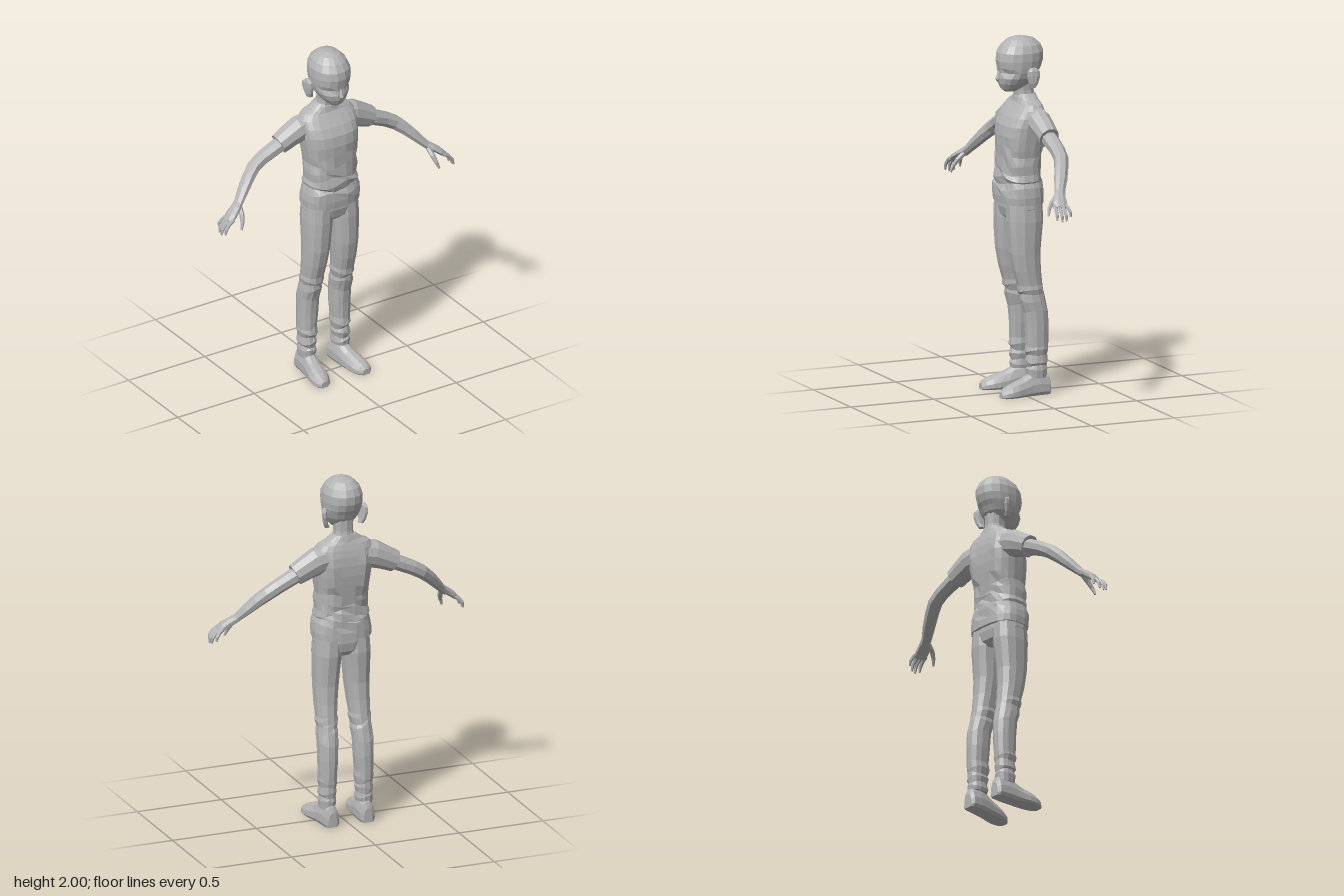
import * as THREE from 'three';

const grey = new THREE.MeshStandardMaterial({ color: 0xb4b4b4 });
grey.name = 'clay grey';

// Skin a list of equal-sized point rings, cap both ends, face outward, facet it
function loft(name, rings) {
  const n = rings[0].length, pos = [], idx = [];
  rings.forEach(r => r.forEach(p => pos.push(p.x, p.y, p.z)));
  for (let i = 0; i < rings.length - 1; i++) {
    for (let j = 0; j < n; j++) {
      const a = i * n + j, b = i * n + (j + 1) % n;
      idx.push(a, b, b + n, a, b + n, a + n);
    }
  }
  [0, rings.length - 1].forEach((r, end) => {
    const c = new THREE.Vector3();
    rings[r].forEach(p => c.addScaledVector(p, 1 / n));
    const k = pos.length / 3;
    pos.push(c.x, c.y, c.z);
    for (let j = 0; j < n; j++) {
      const a = r * n + j, b = r * n + (j + 1) % n;
      if (end) idx.push(a, b, k); else idx.push(b, a, k);
    }
  });
  // A negative enclosed volume means the faces point inward
  const at = i => new THREE.Vector3().fromArray(pos, i * 3);
  let vol = 0;
  for (let i = 0; i < idx.length; i += 3) {
    vol += at(idx[i]).dot(at(idx[i + 1]).cross(at(idx[i + 2])));
  }
  if (vol < 0) idx.reverse();
  const g = new THREE.BufferGeometry();
  g.setAttribute('position', new THREE.Float32BufferAttribute(pos, 3));
  g.setIndex(idx);
  const flat = g.toNonIndexed();
  flat.computeVertexNormals();
  const mesh = new THREE.Mesh(flat, grey);
  mesh.name = name;
  return mesh;
}

// Horizontal squarish oval: height, x centre, half width, front z, back z
function slice(y, xc, w, zf, zb, n = 16, pow = 0.8) {
  const bend = v => Math.sign(v) * Math.abs(v) ** pow;
  return Array.from({ length: n }, (_, i) => {
    const t = (i + 0.5) / n * Math.PI * 2;
    return new THREE.Vector3(xc + w * bend(Math.cos(t)), y, (zf + zb) / 2 + (zf - zb) / 2 * bend(Math.sin(t)));
  });
}

// Limb along a path of [x, y, z, thickness radius, depth radius]
function limb(name, path, s, n = 8) {
  const pts = path.map(p => new THREE.Vector3(p[0] * s, p[1], p[2]));
  const rings = path.map((p, i) => {
    const d = pts[Math.min(i + 1, pts.length - 1)].clone().sub(pts[Math.max(i - 1, 0)]).normalize();
    const v = new THREE.Vector3(0, 0, 1).addScaledVector(d, -d.z).normalize();
    const u = v.clone().cross(d);
    return Array.from({ length: n }, (_, j) => {
      const t = (j + 0.5) / n * Math.PI * 2;
      return pts[i].clone().addScaledVector(u, p[3] * Math.cos(t)).addScaledVector(v, p[4] * Math.sin(t));
    });
  });
  return loft(name, rings);
}

function makeHead() {
  const head = new THREE.Group();
  head.name = 'head';
  const rings = [
    [1.695, 0.025, 0.07, 0.0], [1.712, 0.048, 0.092, -0.04], [1.742, 0.075, 0.106, -0.082],
    [1.775, 0.095, 0.111, -0.108], [1.805, 0.104, 0.106, -0.122], [1.83, 0.108, 0.11, -0.138],
    [1.87, 0.111, 0.117, -0.152], [1.915, 0.109, 0.111, -0.153], [1.955, 0.092, 0.085, -0.135],
    [1.985, 0.062, 0.048, -0.1], [2.0, 0.02, 0.01, -0.04],
  ].map(([y, w, zf, zb]) => slice(y, 0, w, zf, zb, 16, 0.92));
  // Sunken eye sockets
  rings[4].forEach(p => { if (p.z > 0.04 && Math.abs(p.x) > 0.03) p.z -= 0.012; });
  head.add(loft('skull', rings));
  head.add(loft('nose', [
    slice(1.752, 0, 0.011, 0.114, 0.09, 6), slice(1.768, 0, 0.014, 0.128, 0.09, 6), slice(1.81, 0, 0.007, 0.112, 0.09, 6),
  ]));
  for (const s of [1, -1]) {
    const ear = new THREE.Group();
    ear.name = s > 0 ? 'leftEar' : 'rightEar';
    const rim = [[1.725, 0.1, 0.012], [1.75, 0.109, 0.022], [1.79, 0.114, 0.032], [1.818, 0.115, 0.03], [1.835, 0.112, 0.014]];
    ear.add(loft('earShell', rim.map(([y, x, d]) =>
      slice(y, x * s, 0.015, -0.05 + d, -0.055 - d, 8).map(p => {
        p.x += s * (-0.05 - p.z) * 0.3;
        return p;
      }))));
    head.add(ear);
  }
  head.add(loft('neck', [
    slice(1.6, 0, 0.07, 0.0, -0.115, 10), slice(1.655, 0, 0.057, 0.008, -0.105, 10),
    slice(1.7, 0, 0.052, 0.012, -0.098, 10), slice(1.77, 0, 0.055, 0.02, -0.1, 10),
  ]));
  return head;
}

function makeShirt() {
  const shirt = new THREE.Group();
  shirt.name = 'shirt';
  const rings = [
    [1.075, 0.166, 0.108, -0.13], [1.115, 0.168, 0.112, -0.13], [1.16, 0.163, 0.112, -0.126],
    [1.185, 0.152, 0.1, -0.122], [1.215, 0.157, 0.108, -0.118], [1.25, 0.149, 0.099, -0.114],
    [1.28, 0.152, 0.102, -0.115], [1.33, 0.147, 0.098, -0.122], [1.39, 0.153, 0.1, -0.132],
    [1.45, 0.162, 0.1, -0.137], [1.51, 0.168, 0.091, -0.137], [1.56, 0.171, 0.066, -0.134],
    [1.6, 0.168, 0.035, -0.127], [1.63, 0.145, 0.012, -0.118], [1.65, 0.1, 0.006, -0.11], [1.678, 0.062, 0.0, -0.104],
  ].map(([y, w, zf, zb]) => slice(y, 0, w, zf, zb, 20, 0.72));
  rings.forEach((ring, i) => ring.forEach(p => {
    // Cloth folds around the waist, and shoulder blades on the back
    if (i > 1 && i < 9) {
      const y = p.y;
      p.y += 0.014 * Math.sin(p.x * 23 + i * 1.7);
      p.z += 0.005 * Math.sin(p.x * 40 + y * 60);
    }
    if (p.z < -0.1) p.z -= 0.014 * Math.exp(-(((Math.abs(p.x) - 0.1) / 0.04) ** 2) - ((p.y - 1.5) / 0.08) ** 2);
  }));
  shirt.add(loft('shirtBody', rings));
  shirt.add(loft('collar', [
    slice(1.64, 0, 0.082, 0.014, -0.115, 14), slice(1.665, 0, 0.07, 0.01, -0.11, 14), slice(1.68, 0, 0.062, 0.004, -0.106, 14),
  ]));
  for (const s of [1, -1]) {
    shirt.add(limb(s > 0 ? 'leftSleeve' : 'rightSleeve', [
      [0.1, 1.55, -0.06, 0.075, 0.066], [0.17, 1.537, -0.061, 0.08, 0.068],
      [0.23, 1.51, -0.063, 0.07, 0.063], [0.297, 1.477, -0.064, 0.062, 0.058],
    ], s, 10));
  }
  return shirt;
}

function makeArm(s) {
  const arm = new THREE.Group();
  arm.name = s > 0 ? 'leftArm' : 'rightArm';
  arm.add(limb('armSkin', [
    [0.25, 1.495, -0.064, 0.045, 0.046], [0.33, 1.458, -0.066, 0.044, 0.046], [0.4, 1.425, -0.068, 0.042, 0.042],
    [0.46, 1.39, -0.062, 0.041, 0.041], [0.51, 1.348, -0.04, 0.037, 0.039], [0.56, 1.298, -0.014, 0.031, 0.037],
    [0.605, 1.25, 0.012, 0.024, 0.031], [0.635, 1.222, 0.026, 0.021, 0.031],
  ], s));
  arm.add(limb('palm', [
    [0.615, 1.242, 0.016, 0.021, 0.029], [0.645, 1.222, 0.033, 0.021, 0.036],
    [0.68, 1.197, 0.046, 0.02, 0.043], [0.706, 1.172, 0.052, 0.014, 0.042],
  ], s));
  // Four fingers curling down, fanned from back to front
  [[0.018, 0.006, 0.72], [0.04, 0.037, 0.95], [0.062, 0.063, 1], [0.085, 0.09, 0.88]].forEach(([z0, z1, len], i) => {
    arm.add(limb('finger' + (i + 1), [
      [0.69, 1.186, z0, 0.011, 0.011], [0.69 + 0.035 * len, 1.186 - 0.023 * len, (z0 + z1) / 2, 0.011, 0.011],
      [0.69 + 0.058 * len, 1.186 - 0.053 * len, z1, 0.01, 0.01], [0.69 + 0.064 * len, 1.186 - 0.085 * len, z1, 0.005, 0.006],
    ], s, 6));
  });
  arm.add(limb('thumb', [
    [0.618, 1.225, 0.035, 0.015, 0.014], [0.625, 1.19, 0.07, 0.015, 0.014],
    [0.635, 1.155, 0.09, 0.011, 0.011], [0.648, 1.118, 0.1, 0.006, 0.006],
  ], s, 6));
  return arm;
}

function makeTrouserLeg(s) {
  // Height, inner x, outer x, front z, back z; close pairs make cloth folds
  const rings = [
    [1.08, 0.004, 0.158, 0.09, -0.112], [0.98, 0.006, 0.165, 0.092, -0.115], [0.9, 0.014, 0.164, 0.088, -0.106],
    [0.8, 0.022, 0.162, 0.08, -0.096], [0.7, 0.032, 0.16, 0.06, -0.098], [0.62, 0.04, 0.157, 0.036, -0.106],
    [0.59, 0.036, 0.162, 0.034, -0.11], [0.565, 0.046, 0.156, 0.02, -0.114], [0.535, 0.041, 0.161, 0.021, -0.123],
    [0.47, 0.047, 0.162, 0.0, -0.137], [0.38, 0.05, 0.161, -0.008, -0.141], [0.28, 0.058, 0.159, -0.012, -0.138],
    [0.25, 0.054, 0.162, -0.006, -0.136], [0.22, 0.063, 0.154, -0.019, -0.132], [0.19, 0.058, 0.16, -0.01, -0.134],
    [0.165, 0.065, 0.152, -0.021, -0.129], [0.14, 0.06, 0.158, -0.012, -0.133], [0.105, 0.064, 0.154, -0.018, -0.128],
  ].map(([y, xi, xo, zf, zb], i) => {
    const ring = slice(y, s * (xi + xo) / 2, (xo - xi) / 2, zf, zb, 12, 0.85);
    if (i > 5) ring.forEach(p => { p.y += 0.009 * Math.sin(p.x * s * 45 + i * 2.1); });
    return ring;
  });
  return loft(s > 0 ? 'leftTrouserLeg' : 'rightTrouserLeg', rings);
}

function makeShoe(s) {
  // Flat-soled outline swept heel to toe: z, x centre, half width, height
  const outline = [[-0.8, 0], [0.8, 0], [1, 0.15], [0.98, 0.5], [0.7, 0.85], [0.28, 1], [-0.28, 1], [-0.7, 0.85], [-0.98, 0.5], [-1, 0.15]];
  const rings = [
    [-0.15, 0.105, 0.026, 0.08], [-0.138, 0.106, 0.043, 0.115], [-0.08, 0.108, 0.048, 0.13], [-0.025, 0.112, 0.049, 0.118],
    [0.02, 0.118, 0.052, 0.094], [0.06, 0.125, 0.056, 0.082], [0.1, 0.13, 0.054, 0.068], [0.135, 0.134, 0.043, 0.052], [0.154, 0.136, 0.024, 0.034],
  ].map(([z, xc, w, h]) => outline.map(([u, v]) => new THREE.Vector3(s * (xc + u * w), v * h, z)));
  return loft(s > 0 ? 'leftShoe' : 'rightShoe', rings);
}

export function createModel() {
  const figure = new THREE.Group();
  figure.name = 'standingChild';
  figure.add(makeHead(), makeShirt());
  figure.add(loft('trouserSeat', [
    slice(1.13, 0, 0.155, 0.09, -0.112), slice(1.05, 0, 0.162, 0.092, -0.115),
    slice(1.0, 0, 0.13, 0.08, -0.105), slice(0.97, 0, 0.06, 0.045, -0.08),
  ]));
  for (const s of [1, -1]) figure.add(makeArm(s), makeTrouserLeg(s), makeShoe(s));
  return figure;
}
